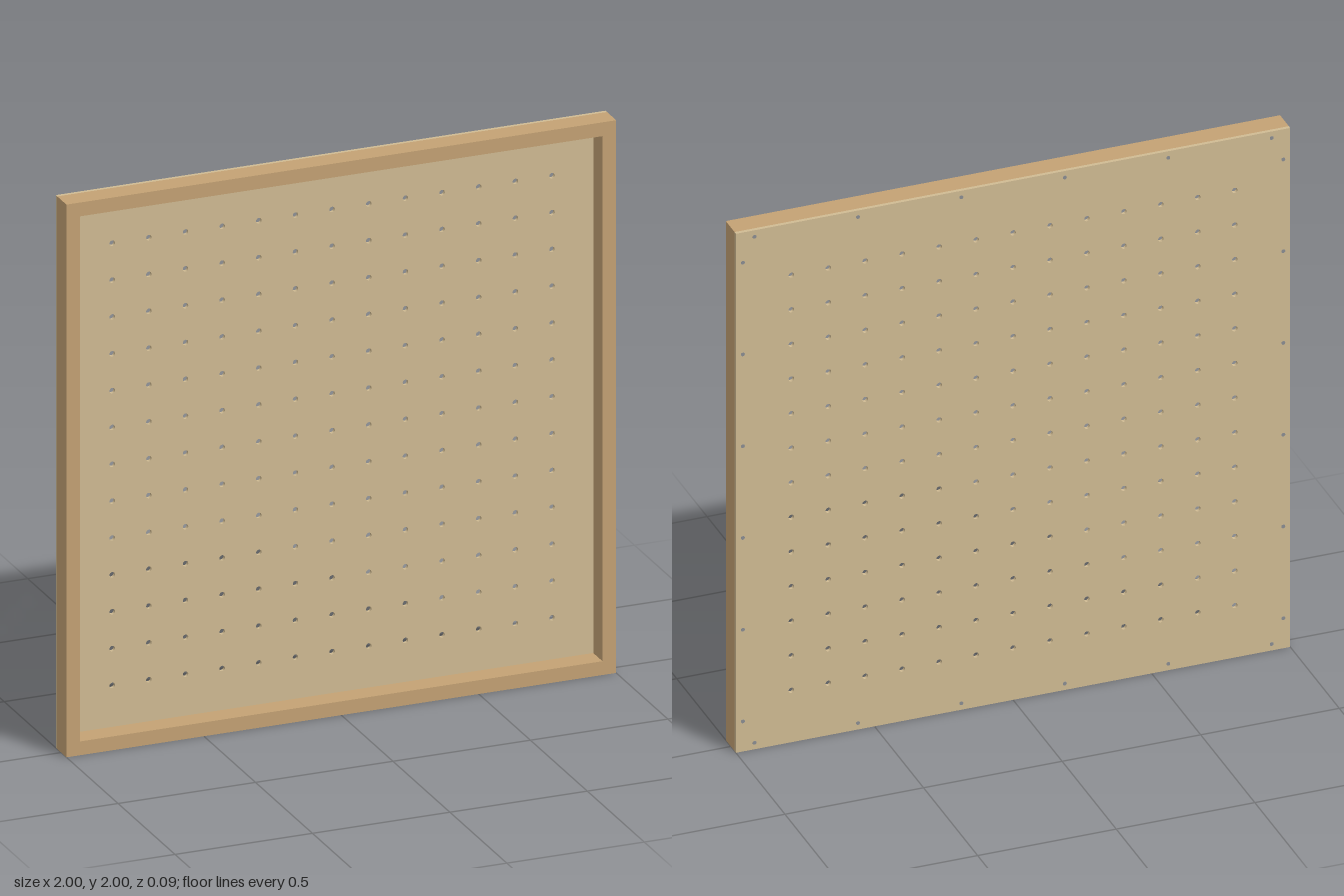
import * as THREE from 'three';

const SIZE = 2, RAIL = 0.05, HALF_DEPTH = 0.047, PANEL = 0.013;

function material(color) {
  return new THREE.MeshStandardMaterial({ color });
}

export function createModel() {
  const model = new THREE.Group();
  const wood = material(0xc4a274);
  const board = material(0xd0bb93);
  const steel = material(0x8a8d91);

  const add = (name, geometry, mat, x, y, z) => {
    const mesh = new THREE.Mesh(geometry, mat);
    mesh.name = name;
    mesh.position.set(x, y, z);
    model.add(mesh);
    return mesh;
  };

  // Frame: full-length top and bottom rails, stiles fitted between them
  const depth = 2 * HALF_DEPTH - PANEL;
  const frameZ = PANEL / 2;
  const rail = new THREE.BoxGeometry(SIZE, RAIL, depth);
  const stile = new THREE.BoxGeometry(RAIL, SIZE - 2 * RAIL, depth);
  const inset = SIZE / 2 - RAIL / 2;
  add('topRail', rail, wood, 0, 1 + inset, frameZ);
  add('bottomRail', rail, wood, 0, 1 - inset, frameZ);
  add('leftStile', stile, wood, inset, 1, frameZ);
  add('rightStile', stile, wood, -inset, 1, frameZ);

  // Back panel with a 13 x 13 grid of through holes
  const sheet = new THREE.Shape([
    new THREE.Vector2(-1, -1), new THREE.Vector2(1, -1),
    new THREE.Vector2(1, 1), new THREE.Vector2(-1, 1),
  ]);
  const pitch = 1.6 / 12;
  for (let row = -6; row <= 6; row++) {
    for (let col = -6; col <= 6; col++) {
      const hole = new THREE.Path();
      hole.absarc(col * pitch, row * pitch, 0.01, 0, Math.PI * 2, true);
      sheet.holes.push(hole);
    }
  }
  const panel = new THREE.ExtrudeGeometry(sheet, {
    depth: PANEL, bevelEnabled: false, curveSegments: 8,
  });
  add('perforatedPanel', panel, board, 0, 1, -HALF_DEPTH);

  // Screw heads along all four edges of the back, almost flush
  const head = new THREE.CylinderGeometry(0.007, 0.007, 0.004, 12);
  head.rotateX(Math.PI / 2);
  const screw = (x, y) => add('screwHead', head, steel, x, 1 + y, -HALF_DEPTH + 0.001);
  for (let i = 0; i < 6; i++) {
    const t = i / 2.5 - 1;
    for (const side of [-1, 1]) {
      screw(t * 0.933, side * inset);
      screw(side * inset, t * 0.884);
    }
  }

  return model;
}
